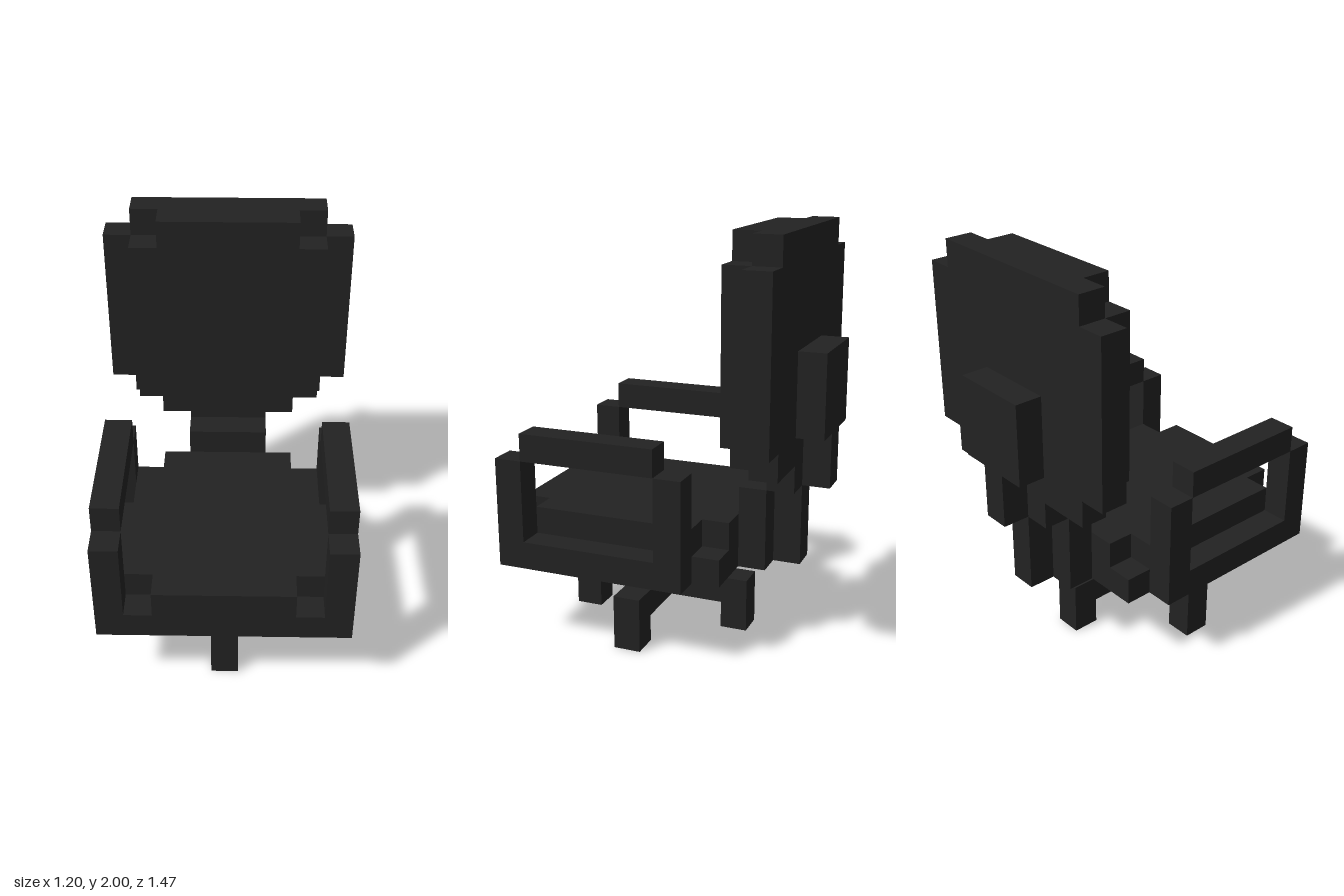
import * as THREE from 'three';

// One block of the chair is 2/15 of a unit; the model is 15 blocks tall.
const U = 2 / 15;

export function createModel() {
  const model = new THREE.Group();
  const charcoal = new THREE.MeshStandardMaterial({ color: 0x222222 });
  charcoal.name = 'charcoal';

  const group = (name) => {
    const g = new THREE.Group();
    g.name = name;
    model.add(g);
    return g;
  };
  // Box given by its limits in blocks: [min, max] on each axis
  const box = (parent, name, [x0, x1], [y0, y1], [z0, z1]) => {
    const geo = new THREE.BoxGeometry((x1 - x0) * U, (y1 - y0) * U, (z1 - z0) * U);
    const mesh = new THREE.Mesh(geo, charcoal);
    mesh.name = name;
    mesh.position.set((x0 + x1) / 2 * U, (y0 + y1) / 2 * U, (z0 + z1) / 2 * U);
    parent.add(mesh);
  };
  // Box centred on x = 0
  const wide = (parent, name, half, y, z) => box(parent, name, [-half, half], y, z);

  // Cross-shaped base with four feet and a column
  const base = group('base');
  wide(base, 'sideArms', 3.5, [1, 2], [0.5, 1.5]);
  wide(base, 'frontArm', 0.5, [1, 2], [1.5, 4.5]);
  wide(base, 'backArm', 0.5, [1, 2], [-2.5, 0.5]);
  wide(base, 'column', 0.5, [2, 3], [0.5, 1.5]);
  wide(base, 'frontFoot', 0.5, [0, 1], [3.5, 4.5]);
  wide(base, 'backFoot', 0.5, [0, 1], [-2.5, -1.5]);
  box(base, 'leftFoot', [2.5, 3.5], [0, 1], [0.5, 1.5]);
  box(base, 'rightFoot', [-3.5, -2.5], [0, 1], [0.5, 1.5]);

  // Seat with notched upper corners
  const seat = group('seat');
  wide(seat, 'seatPan', 3.5, [3, 4], [-2.5, 5.5]);
  wide(seat, 'cushion', 3.5, [4, 5], [-1.5, 4.5]);
  wide(seat, 'cushionFront', 2.5, [4, 5], [4.5, 5.5]);
  wide(seat, 'cushionBack', 2.5, [4, 5], [-2.5, -1.5]);

  // Armrest frames, mirrored
  for (const s of [1, -1]) {
    const arm = group(s > 0 ? 'leftArmrest' : 'rightArmrest');
    const x = s > 0 ? [3.5, 4.5] : [-4.5, -3.5];
    box(arm, 'bottomRail', x, [3, 4], [-0.5, 4.5]);
    box(arm, 'frontPost', x, [3, 7], [4.5, 5.5]);
    box(arm, 'backPost', x, [3, 7], [-1.5, -0.5]);
    box(arm, 'armPad', x, [7, 8], [-0.5, 4.5]);
  }

  // Stepped bracket joining seat and backrest
  const bracket = group('backBracket');
  wide(bracket, 'innerSupport', 1.5, [3, 6], [-3.5, -2.5]);
  wide(bracket, 'outerSupport', 0.5, [3, 6], [-4.5, -3.5]);
  wide(bracket, 'crossBlock', 1.5, [6, 7], [-4.5, -3.5]);
  wide(bracket, 'spine', 0.5, [6, 8], [-5.5, -4.5]);
  wide(bracket, 'backPlate', 1.5, [8, 11], [-5.5, -4.5]);

  // Backrest: shell with side wings and a notched cushion
  const back = group('backrest');
  wide(back, 'shell', 3.5, [7, 15], [-4.5, -3.5]);
  box(back, 'leftWing', [3.5, 4.5], [8, 14], [-4.5, -3.5]);
  box(back, 'rightWing', [-4.5, -3.5], [8, 14], [-4.5, -3.5]);
  wide(back, 'backCushion', 3.5, [8, 14], [-3.5, -2.5]);
  wide(back, 'backCushionTop', 2.5, [14, 15], [-3.5, -2.5]);
  wide(back, 'backCushionBottom', 2.5, [7, 8], [-3.5, -2.5]);

  return model;
}
